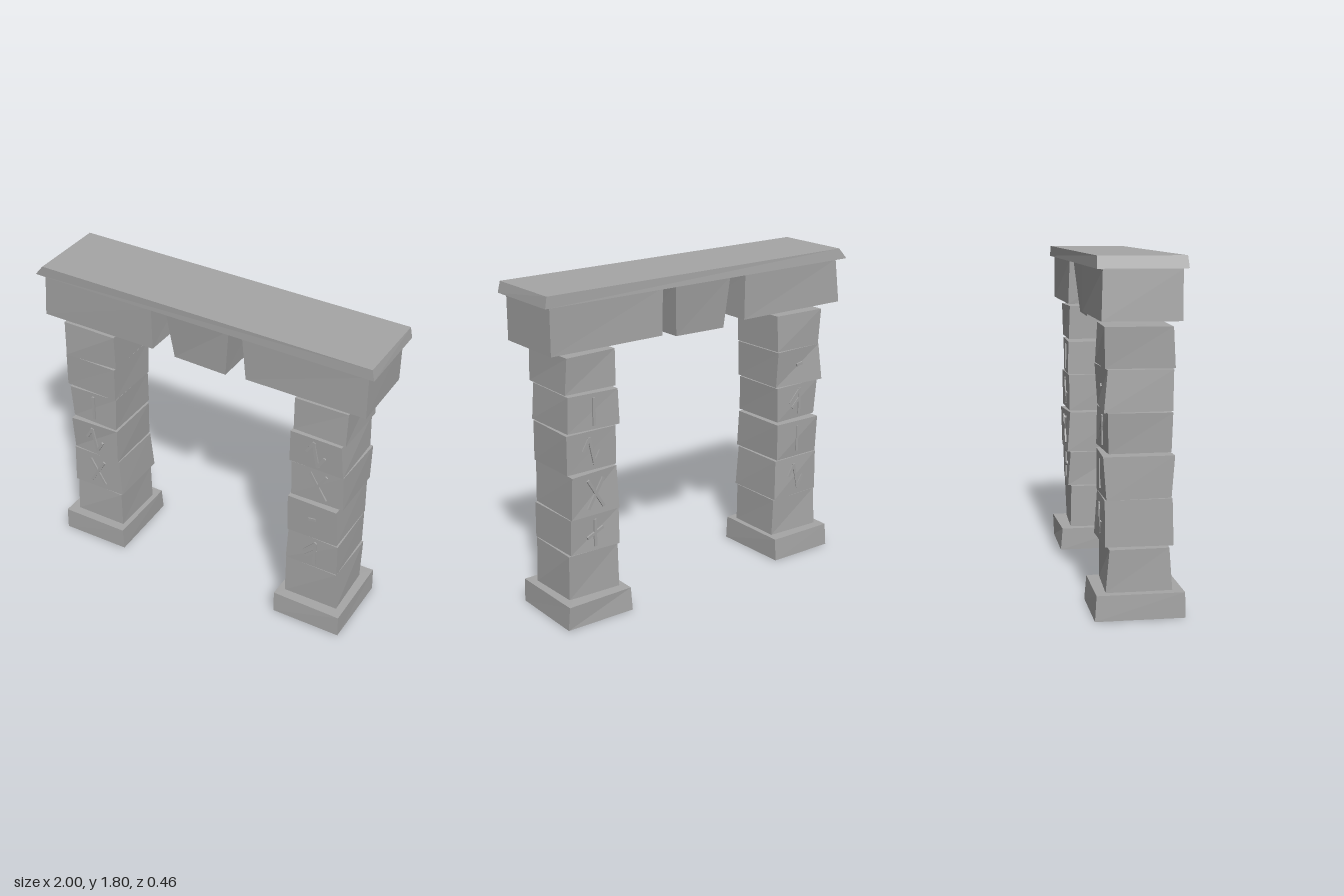
import * as THREE from 'three';

export function createModel() {
  const model = new THREE.Group();
  model.name = 'stoneGate';
  const stone = new THREE.MeshStandardMaterial({ color: 0xa6a6a6, flatShading: true });
  stone.name = 'grey stone';

  // Small repeatable generator for the rough-hewn corners
  let seed = 11;
  const jitter = (amount) => {
    seed = (seed * 16807) % 2147483647;
    return (seed / 2147483647 - 0.5) * 2 * amount;
  };

  // Six-sided stone; bottom and top are [xMin, xMax, zMin, zMax]
  function block(name, y0, y1, bottom, top, rough, parent = model) {
    const geo = new THREE.BoxGeometry(1, 1, 1);
    const p = geo.attributes.position;
    const corners = Array.from({ length: 8 }, () => [jitter(rough * 0.5), jitter(rough * 0.25), jitter(rough)]);
    for (let i = 0; i < p.count; i++) {
      const sx = p.getX(i) > 0 ? 1 : 0, up = p.getY(i) > 0 ? 1 : 0, sz = p.getZ(i) > 0 ? 1 : 0;
      const r = up ? top : bottom;
      const j = corners[sx + 2 * up + 4 * sz];
      p.setXYZ(i, r[sx] + j[0], (up ? y1 : y0) + j[1], r[2 + sz] + j[2]);
    }
    geo.computeVertexNormals();
    const mesh = new THREE.Mesh(geo, stone);
    mesh.name = name;
    parent.add(mesh);
    // Mean face depth, used to seat the carved marks
    const mean = (sz) => [0, 1, 2, 3].reduce((s, k) => {
      const up = k >> 1;
      return s + ((up ? top : bottom)[2 + sz] + corners[k + 4 * sz][2]) / 4;
    }, 0);
    return { back: mean(0), front: mean(1) };
  }

  // Abstract chisel marks as strokes [x1, y1, x2, y2]
  const marks = {
    cross: [[-0.045, -0.075, 0.045, 0.075], [-0.045, 0.075, 0.045, -0.075]],
    plus: [[0, -0.07, 0, 0.07], [-0.045, -0.02, 0.045, 0.02]],
    zigzag: [[-0.05, 0.01, -0.015, 0.07], [-0.015, 0.07, 0.015, -0.07], [0.015, -0.07, 0.05, -0.01]],
    bar: [[0, -0.07, 0, 0.07]],
    barbs: [[0.02, -0.07, 0.02, 0.07], [0.02, 0.07, -0.045, 0], [0.02, 0.02, -0.03, -0.03]],
    dash: [[-0.015, 0.01, 0.015, 0.015]],
  };
  function carve(kind, x, y, z, facing, parent) {
    const group = new THREE.Group();
    group.name = 'chiselMark';
    for (const [x1, y1, x2, y2] of marks[kind]) {
      const geo = new THREE.BoxGeometry(Math.hypot(x2 - x1, y2 - y1) + 0.012, 0.016, 0.0095);
      const stroke = new THREE.Mesh(geo, stone);
      stroke.name = 'chiselStroke';
      stroke.position.set((x1 + x2) / 2, (y1 + y2) / 2, 0);
      stroke.rotation.z = Math.atan2(y2 - y1, x2 - x1);
      group.add(stroke);
    }
    group.position.set(x, y, z + facing * 0.003);
    if (facing < 0) group.rotation.y = Math.PI;
    parent.add(group);
  }

  // Columns: y0, y1, bottom x range, top x range, front mark, back mark
  const columns = {
    rightColumn: [
      [0.13, 0.35, -0.87, -0.545, -0.87, -0.555],
      [0.36, 0.595, -0.87, -0.54, -0.865, -0.56, 'cross', 'zigzag'],
      [0.60, 0.815, -0.86, -0.56, -0.86, -0.56, 'zigzag', 'bar'],
      [0.83, 1.03, -0.855, -0.56, -0.865, -0.555, 'bar', 'barbs'],
      [1.04, 1.245, -0.88, -0.55, -0.87, -0.55, null, 'dash'],
      [1.25, 1.455, -0.86, -0.545, -0.865, -0.545],
    ],
    leftColumn: [
      [0.13, 0.38, 0.55, 0.865, 0.55, 0.86],
      [0.385, 0.585, 0.55, 0.855, 0.55, 0.85, 'barbs', 'plus'],
      [0.59, 0.825, 0.55, 0.845, 0.55, 0.84, 'dash', 'cross'],
      [0.835, 1.05, 0.56, 0.865, 0.56, 0.86, 'cross', 'zigzag'],
      [1.055, 1.25, 0.54, 0.85, 0.545, 0.84, 'zigzag', 'bar'],
      [1.265, 1.46, 0.56, 0.86, 0.555, 0.855],
    ],
  };
  const depths = [0.16, 0.17, 0.172, 0.163, 0.17, 0.172];
  for (const [name, rows] of Object.entries(columns)) {
    const column = new THREE.Group();
    column.name = name;
    model.add(column);
    const s = Math.sign(rows[0][2]);
    const foot = s > 0 ? [0.51, 0.915] : [-0.915, -0.515];
    block('columnFoot', 0, 0.13, [...foot, -0.228, 0.225], [foot[0], foot[1] - 0.005, -0.222, 0.222], 0.008, column);
    rows.forEach(([y0, y1, b0, b1, t0, t1, front, back], i) => {
      const d = depths[i];
      const face = block('columnStone', y0, y1, [b0, b1, -d, d], [t0, t1, -d, d], 0.011, column);
      const x = (b0 + b1) / 2, y = (y0 + y1) / 2;
      if (front) carve(front, x, y, face.front, 1, column);
      if (back) carve(back, x, y, face.back, -1, column);
    });
  }

  // Lintel stones, keystone and capping slab
  block('rightLintel', 1.488, 1.735, [-0.97, -0.275, -0.2, 0.19], [-0.95, -0.275, -0.2, 0.198], 0.006);
  block('leftLintel', 1.492, 1.738, [0.285, 0.962, -0.2, 0.192], [0.27, 0.962, -0.2, 0.2], 0.006);
  block('keystone', 1.455, 1.738, [-0.163, 0.152, -0.16, 0.16], [-0.185, 0.183, -0.19, 0.19], 0.006);
  block('cappingSlab', 1.74, 1.8, [-0.998, 0.998, -0.228, 0.218], [-0.947, 0.985, -0.224, 0.216], 0.003);
  return model;
}
